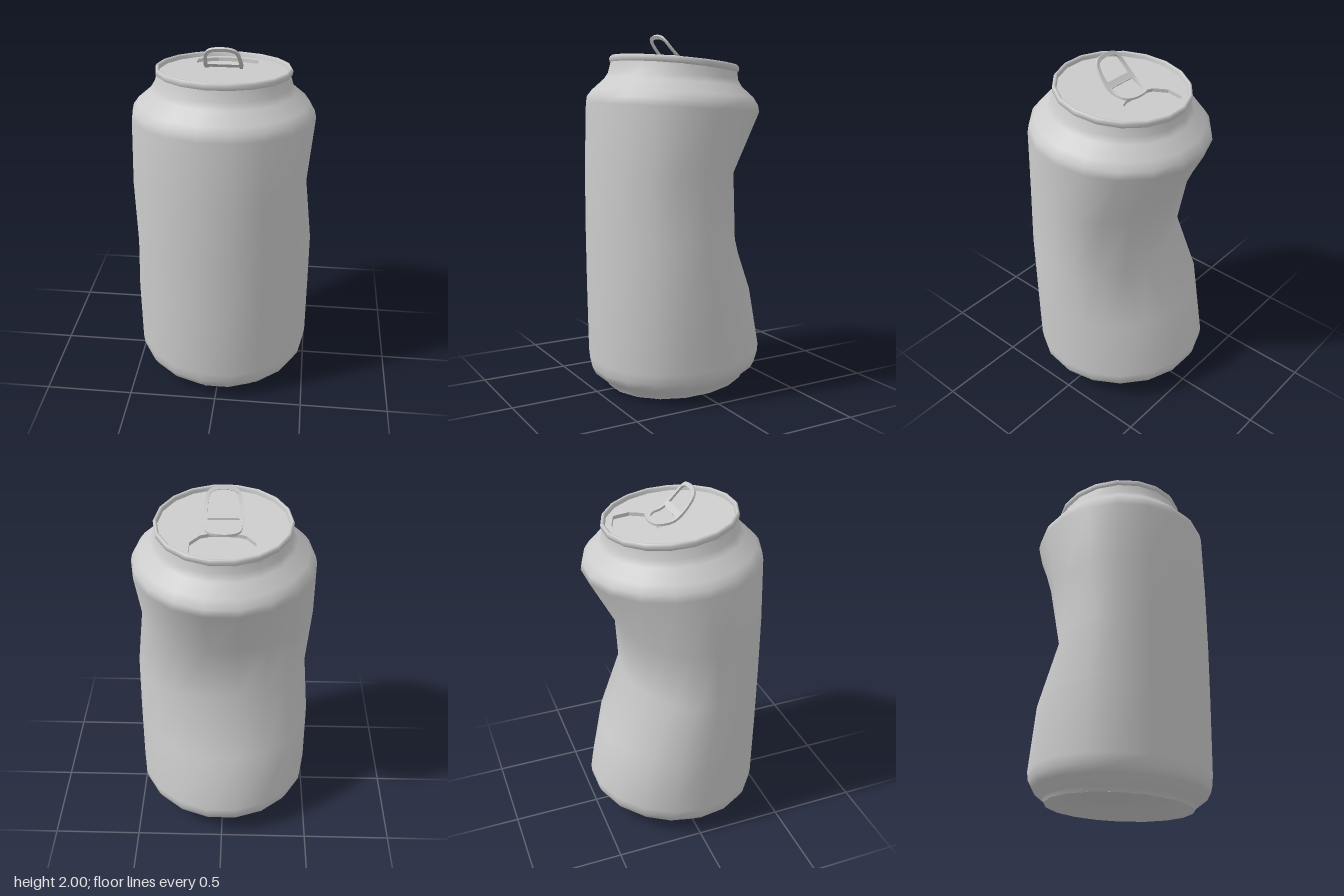
import * as THREE from 'three';
import { toCreasedNormals, mergeGeometries } from 'three/addons/utils/BufferGeometryUtils.js';

const SIDES = 18;
const HALF = Math.PI / SIDES; // half a side, so flat sides face front and back
const mat = new THREE.MeshStandardMaterial({ color: 0xcccccc, side: THREE.DoubleSide });

function named(name, geometry) {
  const mesh = new THREE.Mesh(geometry, mat);
  mesh.name = name;
  return mesh;
}

const vecs = (pts) => pts.map(([x, y]) => new THREE.Vector2(x, y));

function indexed(pos, index) {
  const g = new THREE.BufferGeometry();
  g.setAttribute('position', new THREE.Float32BufferAttribute(pos, 3));
  g.setIndex(index);
  return g;
}

// Skin over tilted rings: [front z, front y, back z, back y, half width, dent?]
// dent: the back is pushed forward, leaning to one side, and one flank is pinched in
function ringSkin(rings) {
  const pos = [], index = [];
  rings.forEach(([zf, yf, zb, yb, rx, dent], i) => {
    for (let j = 0; j < SIDES; j++) {
      const a = HALF + j * 2 * HALF;
      const back = (1 - Math.cos(a) / Math.cos(HALF)) / 2; // 0 at the front, 1 at the back
      let x = rx * Math.sin(a);
      let z = zf + (zb - zf) * back + 0.06 * x * x; // flanks bow slightly forward
      if (dent) {
        z += dent.push * back ** 1.7 * (1 + dent.lean * x);
        if (x * dent.side > 0) x *= 1 - dent.pinch * Math.min(1, 2 * back);
      }
      pos.push(x, yf + (yb - yf) * back, z);
      if (i < rings.length - 1) {
        const k = (j + 1) % SIDES, lo = i * SIDES, hi = lo + SIDES;
        index.push(lo + j, lo + k, hi + k, lo + j, hi + k, hi + j);
      }
    }
  });
  const g = indexed(pos, index);
  g.computeVertexNormals();
  return g;
}

// Horizontal plate from a flat outline (x, z), top at y = 0
function plate(shape, depth) {
  return new THREE.ExtrudeGeometry(shape, { depth, bevelEnabled: false }).rotateX(Math.PI / 2);
}

// Smooth closed loop, symmetric in x, from the points of its right half
function roundLoop(half) {
  const all = [...half, ...half.slice().reverse().map(([x, z]) => [-x, z])];
  return new THREE.CatmullRomCurve3(
    all.map(([x, z]) => new THREE.Vector3(x, 0, z)), true, 'catmullrom', 0.4)
    .getPoints(all.length * 3).slice(0, -1);
}

// Pull tab: a flat loop and a cross bar, curled upward along z
function tabGeometry() {
  const thick = 0.012;
  const outer = roundLoop([[0.03, -0.078], [0.07, -0.064], [0.094, -0.035], [0.1, 0.02],
    [0.105, 0.08], [0.101, 0.14], [0.09, 0.2], [0.065, 0.23], [0.025, 0.241]]);
  const inner = roundLoop([[0.02, -0.054], [0.053, -0.04], [0.078, -0.012], [0.084, 0.025],
    [0.084, 0.08], [0.083, 0.14], [0.074, 0.192], [0.054, 0.211], [0.022, 0.218]]);
  const pos = [], index = [], n = outer.length;
  for (let i = 0; i < n; i++) {
    const o = outer[i], q = inner[i], next = (i + 1) % n;
    pos.push(o.x, 0, o.z, o.x, thick, o.z, q.x, thick, q.z, q.x, 0, q.z);
    for (let k = 0; k < 4; k++) {
      const m = (k + 1) % 4;
      const a = i * 4 + k, b = i * 4 + m, c = next * 4 + m, d = next * 4 + k;
      index.push(a, b, c, a, c, d);
    }
  }
  const bar = new THREE.BoxGeometry(0.172, thick, 0.038, 1, 1, 4).translate(0, thick / 2, 0.078);
  bar.deleteAttribute('normal');
  bar.deleteAttribute('uv');
  const g = mergeGeometries([indexed(pos, index), bar]);

  // Curl: steep soon after the hinge, then gentler
  const angle = (s) => s <= 0 ? 0 : s < 0.06 ? 0.58 * s / 0.06 : 0.58 + 0.38 * (s - 0.06) / 0.18;
  const p = g.attributes.position, steps = 24;
  for (let i = 0; i < p.count; i++) {
    const s = p.getZ(i), h = p.getY(i), end = angle(s);
    let y = 0, z = 0;
    for (let k = 0; k < steps; k++) {
      const a = angle(s * (k + 0.5) / steps);
      y += Math.sin(a) * s / steps;
      z += Math.cos(a) * s / steps;
    }
    p.setXYZ(i, p.getX(i), y + h * Math.cos(end), z - h * Math.sin(end));
  }
  return toCreasedNormals(g, 0.6);
}

export function createModel() {
  const can = new THREE.Group();
  can.name = 'crushedCan';

  // Dented side wall, from foot to neck
  can.add(named('body', ringSkin([
    [0.388, 0, -0.412, 0.055, 0.4],
    [0.402, 0.025, -0.42, 0.078, 0.415],
    [0.467, 0.075, -0.475, 0.125, 0.475],
    [0.485, 0.115, -0.494, 0.165, 0.498],
    [0.49, 0.17, -0.497, 0.21, 0.504],
    [0.496, 0.58, -0.492, 0.55, 0.506, { push: 0.07, lean: 0, side: 0, pinch: 0 }],
    [0.498, 0.9, -0.492, 0.88, 0.506, { push: 0.228, lean: -0.4, side: -1, pinch: 0.05 }],
    [0.497, 1.26, -0.492, 1.24, 0.506, { push: 0.182, lean: 0.1, side: 1, pinch: 0.075 }],
    [0.486, 1.63, -0.483, 1.57, 0.503],
    [0.48, 1.67, -0.477, 1.61, 0.494],
    [0.452, 1.705, -0.45, 1.655, 0.465],
    [0.386, 1.765, -0.385, 1.715, 0.395],
    [0.362, 1.8, -0.365, 1.75, 0.374],
    [0.348, 1.86, -0.36, 1.8, 0.358],
  ])));

  // Hollow bottom, tilted with the foot
  const domeRing = (r, h) =>
    [r - 0.012, 0.0275 + h - 0.069 * r, -r - 0.012, 0.0275 + h + 0.069 * r, r];
  can.add(named('bottomDome', ringSkin([
    domeRing(0.001, 0.105), domeRing(0.13, 0.097), domeRing(0.25, 0.07),
    domeRing(0.33, 0.038), domeRing(0.375, 0.008), domeRing(0.4, 0),
  ])));

  // Tilted top: rim, lid, mouth panel and tab
  const top = new THREE.Group();
  top.name = 'top';
  top.position.set(0, 1.862, -0.008);
  top.rotation.x = -0.09;
  can.add(top);

  top.add(named('rim', new THREE.LatheGeometry(vecs([
    [0.355, -0.042], [0.368, -0.032], [0.37, -0.012], [0.364, -0.001],
    [0.356, 0], [0.349, -0.008], [0.346, -0.04]]), SIDES, HALF)));

  const lidShape = new THREE.Shape(Array.from({ length: SIDES }, (_, j) => {
    const a = HALF + j * 2 * HALF;
    return new THREE.Vector2(0.348 * Math.sin(a), 0.348 * Math.cos(a));
  }));
  const half = [[0.06, -0.305], [0.17, -0.262], [0.17, -0.172], [0.12, -0.108], [0.07, -0.09]];
  const mouth = vecs([...half, ...half.slice().reverse().map(([x, z]) => [-x, z])]);
  lidShape.holes.push(new THREE.Path(mouth));
  const lid = named('lid', plate(lidShape, 0.025));
  lid.position.y = -0.026;
  const panel = named('mouthPanel', plate(new THREE.Shape(mouth), 0.005));
  panel.position.y = -0.046;

  const tab = named('pullTab', tabGeometry());
  tab.position.set(0, -0.02, -0.046);
  top.add(lid, panel, tab);

  return can;
}
